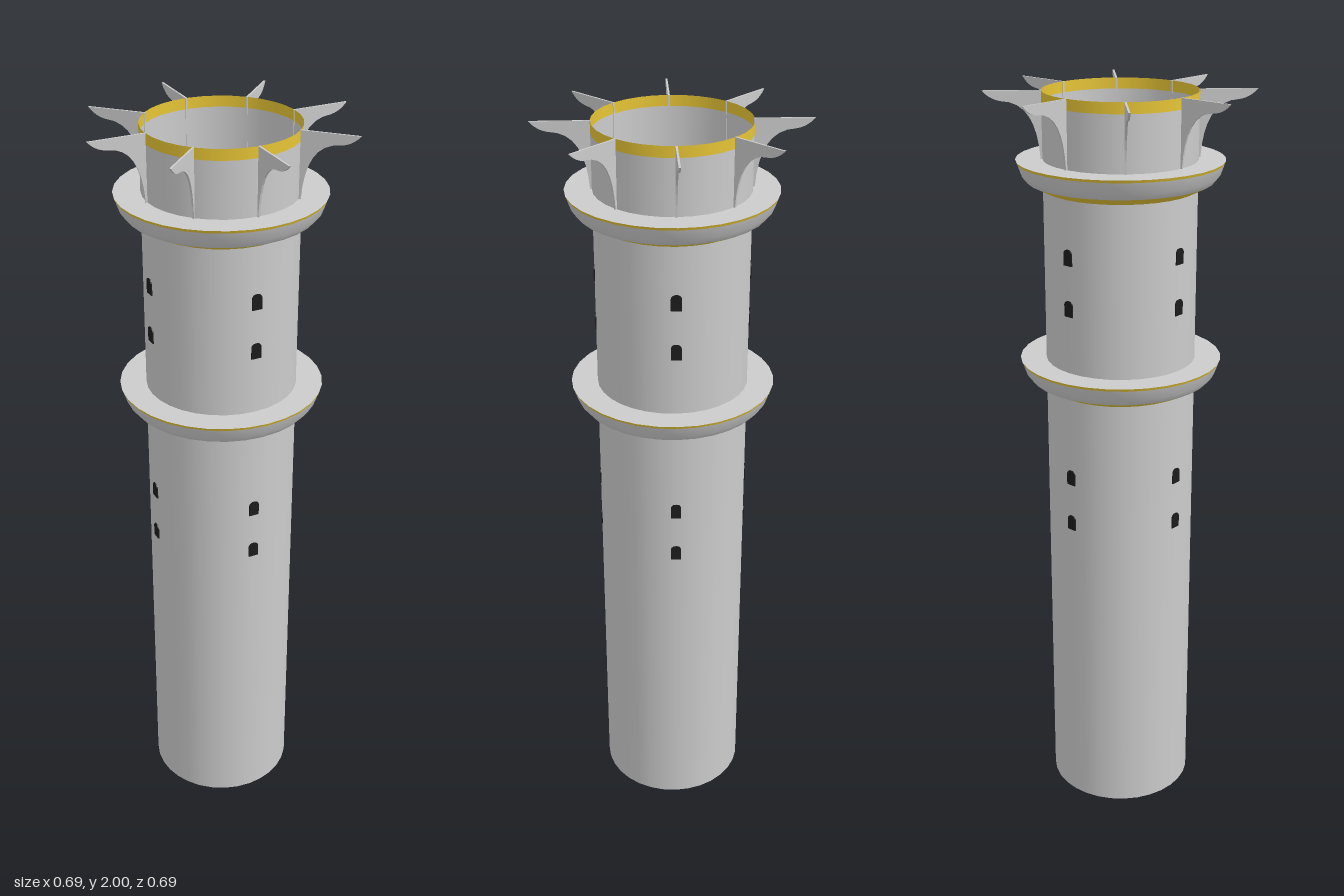
import * as THREE from 'three';

const R = 0.198, SEG = 32;
const grey = new THREE.MeshStandardMaterial({ color: 0xcccccc, side: THREE.DoubleSide });
const gold = new THREE.MeshStandardMaterial({ color: 0xe6c435, side: THREE.DoubleSide });
const black = new THREE.MeshStandardMaterial({ color: 0x1c1c1c });

function add(parent, name, geometry, material) {
  const mesh = new THREE.Mesh(geometry, material);
  mesh.name = name;
  parent.add(mesh);
  return mesh;
}

// Open tube between two heights
function tube(parent, name, y0, y1, material) {
  const geo = new THREE.CylinderGeometry(R, R, y1 - y0, SEG, 1, true);
  add(parent, name, geo, material).position.y = (y0 + y1) / 2;
}

// Band of revolution through [radius, height] points
function band(parent, name, points, material) {
  const pts = points.map(([r, y]) => new THREE.Vector2(r, y));
  add(parent, name, new THREE.LatheGeometry(pts, SEG), material);
}

// Flared balcony: gold underside, grey side, gold lip, flat deck
function balcony(parent, name, y) {
  const g = new THREE.Group();
  g.name = name;
  g.position.y = y;
  band(g, 'goldUnderside', [[R, 0], [0.24, 0.021]], gold);
  band(g, 'flaredSide', [[0.24, 0.021], [0.254, 0.038], [0.264, 0.067]], grey);
  band(g, 'goldLip', [[0.264, 0.067], [0.267, 0.074]], gold);
  band(g, 'deck', [[0.267, 0.074], [R, 0.074]], grey);
  parent.add(g);
}

// Thin bracket fin in the radial plane, concave on its outer edge
function finGeometry() {
  const s = new THREE.Shape();
  s.moveTo(R - 0.002, 1.83);
  s.lineTo(0.202, 1.83);
  s.bezierCurveTo(0.208, 1.92, 0.235, 1.972, 0.298, 1.974);
  s.quadraticCurveTo(0.325, 1.978, 0.344, 2);
  s.lineTo(R - 0.002, 2);
  const geo = new THREE.ExtrudeGeometry(s, { depth: 0.005, bevelEnabled: false, curveSegments: 8 });
  return geo.translate(0, 0, -0.0025);
}

// Arched window block reaching a little into the wall
function windowGeometry() {
  const w = 0.0135, h = 0.042;
  const s = new THREE.Shape();
  s.moveTo(-w, 0);
  s.lineTo(w, 0);
  s.lineTo(w, h - 0.01);
  s.quadraticCurveTo(w * 0.8, h, 0, h);
  s.quadraticCurveTo(-w * 0.8, h, -w, h - 0.01);
  const geo = new THREE.ExtrudeGeometry(s, { depth: 0.028, bevelEnabled: false, curveSegments: 4 });
  return geo.translate(0, 0, 0.172);
}

export function createModel() {
  const tower = new THREE.Group();
  tower.name = 'tower';

  // Shaft and open crown with gold rim
  tube(tower, 'shaft', 0, 1.83, grey);
  tube(tower, 'crownWall', 1.83, 1.972, grey);
  tube(tower, 'crownGoldRim', 1.972, 2, gold);

  // Inner floor level with the lower balcony
  const floor = add(tower, 'innerFloor', new THREE.CircleGeometry(R, SEG), grey);
  floor.rotation.x = -Math.PI / 2;
  floor.position.y = 1.305;

  balcony(tower, 'lowerBalcony', 1.231);
  balcony(tower, 'upperBalcony', 1.756);

  // Eight fins around the crown
  const fin = finGeometry();
  for (let i = 0; i < 8; i++) {
    add(tower, 'crownFin', fin, grey).rotation.y = (i * Math.PI) / 4;
  }

  // Four columns of windows
  const win = windowGeometry();
  for (let i = 0; i < 4; i++) {
    for (const y of [0.855, 0.988, 1.457, 1.59]) {
      const m = add(tower, 'window', win, black);
      m.position.y = y;
      m.rotation.y = (i * Math.PI) / 2;
    }
  }
  return tower;
}
